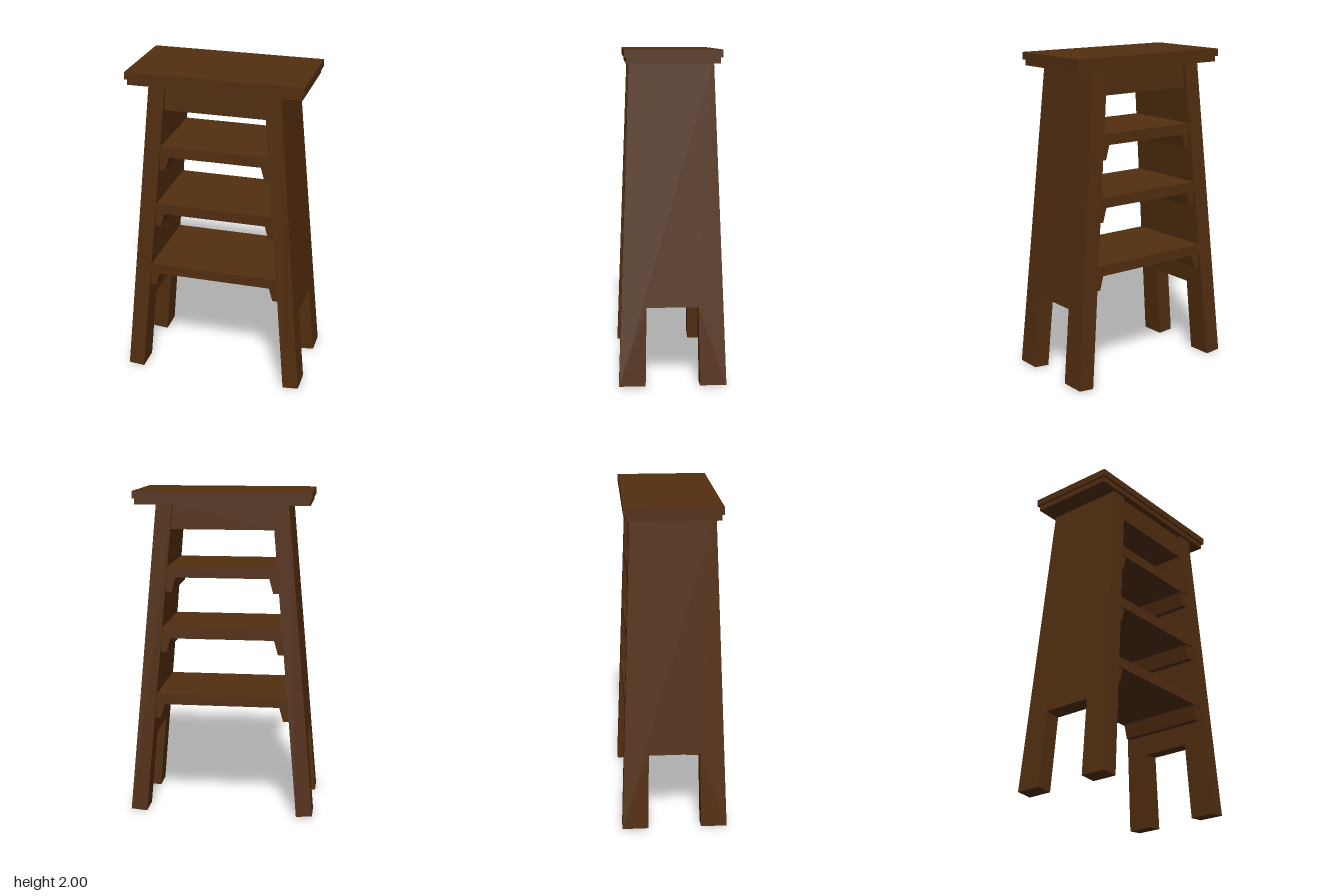
import * as THREE from 'three';

const wood = new THREE.MeshStandardMaterial({ color: 0x522e10 });
wood.name = 'dark brown wood';

const LEAN = 0.0885;                              // inward lean of the side panels
const innerX = (y) => 0.47 - LEAN * y;            // inner face of a side panel
const halfZ = (y) => 0.32 - 0.0365 * y;           // half depth of a side panel

function add(parent, name, geometry) {
  const mesh = new THREE.Mesh(geometry, wood);
  mesh.name = name;
  parent.add(mesh);
  return mesh;
}

// Straight prism with an outline in the xy plane, centred on z = 0
function prism(points, depth) {
  const shape = new THREE.Shape(points.map(([x, y]) => new THREE.Vector2(x, y)));
  return new THREE.ExtrudeGeometry(shape, { depth, bevelEnabled: false, steps: 1 })
    .translate(0, 0, -depth / 2);
}

// Board between the panels, with ends cut to their slope
function board(y0, y1, depth) {
  const a = innerX(y0) + 0.005, b = innerX(y1) + 0.005;
  return prism([[-a, y0], [a, y0], [b, y1], [-b, y1]], depth);
}

export function createModel() {
  const stool = new THREE.Group();
  stool.name = 'stepStool';

  // Two-layer top
  add(stool, 'topBoard', new THREE.BoxGeometry(1.078, 0.045, 0.57)).position.set(0, 1.9775, -0.005);
  add(stool, 'topMoulding', new THREE.BoxGeometry(1.054, 0.035, 0.545)).position.set(0, 1.9375, -0.004);

  // Apron under the top
  add(stool, 'apron', board(1.77, 1.93, 0.46));

  // Leaning side panels, notched at the foot into two legs
  const panel = prism([
    [-0.322, 0], [-0.163, 0], [-0.155, 0.473], [0.155, 0.473],
    [0.163, 0], [0.322, 0], [0.25, 1.94], [-0.25, 1.94],
  ], 0.1)
    .translate(0, 0, 0.05)
    .rotateY(Math.PI / 2)
    .rotateZ(Math.atan(LEAN))
    .translate(0.47, 0, 0);
  add(stool, 'leftPanel', panel);
  add(stool, 'rightPanel', panel).rotation.y = Math.PI;

  // Shelves, each resting on a pair of tapered cleats
  for (const [y0, y1] of [[0.69, 0.755], [1.105, 1.17], [1.48, 1.547]]) {
    const half = halfZ(y1) - 0.004;
    add(stool, 'shelf', board(y0, y1, half * 2));
    const low = y0 - 0.09;
    const cleat = prism([
      [innerX(low) - 0.037, low], [innerX(low) + 0.005, low],
      [innerX(y0) + 0.005, y0], [innerX(y0) - 0.054, y0],
    ], half * 2 - 0.02);
    add(stool, 'leftCleat', cleat);
    add(stool, 'rightCleat', cleat).rotation.y = Math.PI;
  }
  return stool;
}
